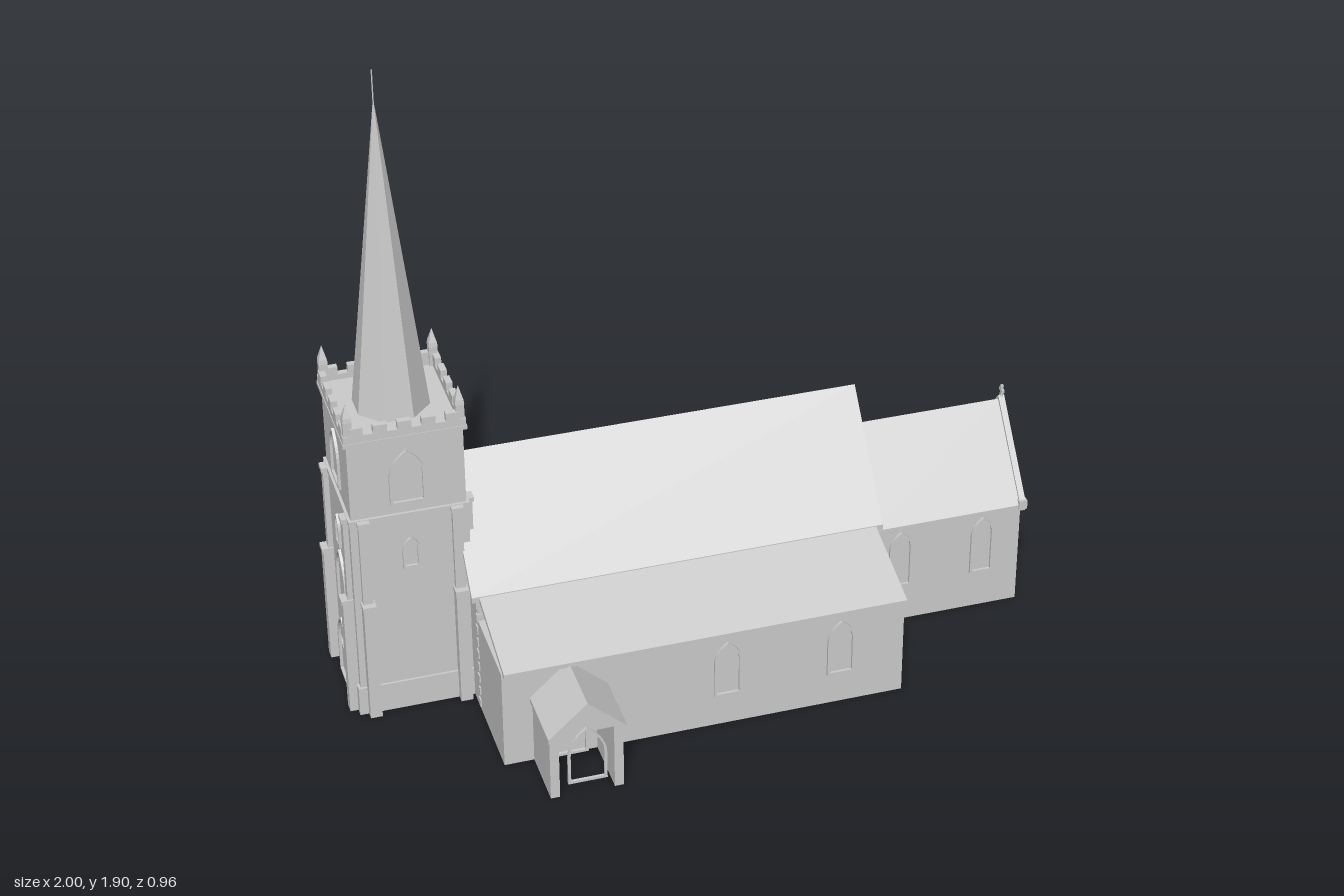
import * as THREE from 'three';

export function createModel() {
  const root = new THREE.Group();
  root.name = 'church';
  const stone = new THREE.MeshStandardMaterial({ color: 0xcccccc });
  stone.name = 'pale stone';
  stone.flatShading = true;

  const add = (name, geo, parent = root) => {
    const m = new THREE.Mesh(geo, stone);
    m.name = name;
    parent.add(m);
    return m;
  };
  // box given by its min and max corners
  const box = (name, x0, x1, y0, y1, z0, z1, parent) => {
    const m = add(name, new THREE.BoxGeometry(x1 - x0, y1 - y0, z1 - z0), parent);
    m.position.set((x0 + x1) / 2, (y0 + y1) / 2, (z0 + z1) / 2);
    return m;
  };
  const poly = pts => new THREE.Shape(pts.map(p => new THREE.Vector2(p[0], p[1])));
  const extrude = (shape, depth) =>
    new THREE.ExtrudeGeometry(shape, { depth, bevelEnabled: false, curveSegments: 6 });

  // gabled solid or roof whose ridge runs along x
  const alongX = (name, shape, x0, x1, zc) => {
    const m = add(name, extrude(shape, x1 - x0));
    m.rotation.y = Math.PI / 2;
    m.position.set(x0, 0, zc);
    return m;
  };
  const house = (half, eave, ridge) =>
    poly([[-half, 0], [half, 0], [half, eave], [0, ridge], [-half, eave]]);
  const chevron = (half, eave, ridge, t) =>
    poly([[-half, eave - t], [0, ridge - t], [half, eave - t], [half, eave], [0, ridge], [-half, eave]]);

  // pointed arch outline, standing on y = 0
  const archPath = (path, w, h, y0 = 0) => {
    const s = h - w * 0.85;
    path.moveTo(-w / 2, y0);
    path.lineTo(w / 2, y0);
    path.lineTo(w / 2, s);
    path.quadraticCurveTo(w / 2, s + w * 0.5, 0, h);
    path.quadraticCurveTo(-w / 2, s + w * 0.5, -w / 2, s);
    path.closePath();
    return path;
  };
  // thin raised frame around a window or door
  const archFrame = (name, x, y, z, w, h, turn, parent) => {
    const t = 0.008;
    const s = archPath(new THREE.Shape(), w, h);
    s.holes.push(archPath(new THREE.Path(), w - 2 * t, h - t, t));
    const m = add(name, extrude(s, 0.008), parent);
    m.position.set(x, y, z);
    m.rotation.y = turn;
    return m;
  };

  // nave
  const zc = -0.217;
  alongX('naveWalls', house(0.245, 0.40, 0.69), -0.64, 0.525, zc);
  alongX('naveRoof', chevron(0.262, 0.40, 0.71, 0.018), -0.658, 0.535, zc);
  for (const x of [0.25, -0.08, -0.38])
    archFrame('naveNorthWindow', x, 0.13, zc - 0.245, 0.08, 0.2, Math.PI);

  // alternating corner stones
  for (const x of [-0.64, 0.525])
    for (const side of [-1, 1])
      for (let i = 0; i < 9; i++) {
        const r = i % 2 ? 0.012 : 0.02, z = zc + side * 0.24, dx = Math.sign(x);
        const q = add('cornerStone', new THREE.BoxGeometry(r * 2, 0.024, r));
        q.position.set(x - dx * (r - 0.004), 0.025 + i * 0.042, z + side * (0.009 - r / 2));
      }

  // chancel with raised end gable, kneelers and cross
  alongX('chancelWalls', house(0.19, 0.335, 0.56), 0.52, 0.985, zc);
  alongX('chancelRoof', chevron(0.2, 0.335, 0.577, 0.016), 0.53, 0.985, zc);
  alongX('gableCoping', chevron(0.2, 0.345, 0.59, 0.03), 0.978, 0.996, zc);
  for (const s of [-1, 1]) {
    const z = zc + s * 0.193;
    box('kneeler', 0.975, 1.0, 0.322, 0.35, z - 0.012, z + 0.012);
  }
  box('crossShaft', 0.984, 0.992, 0.58, 0.622, zc - 0.004, zc + 0.004);
  box('crossArm', 0.984, 0.992, 0.602, 0.61, zc - 0.012, zc + 0.012);
  for (const x of [0.62, 0.87]) {
    archFrame('chancelSouthWindow', x, 0.12, zc + 0.19, 0.07, 0.19, 0);
    archFrame('chancelNorthWindow', x, 0.12, zc - 0.19, 0.07, 0.19, Math.PI);
  }
  archFrame('eastWindow', 0.985, 0.13, zc, 0.14, 0.26, Math.PI / 2);

  // side aisle under a lean-to roof
  box('aisleWalls', -0.64, 0.515, 0, 0.31, 0.02, 0.285);
  alongX('aisleRoof', poly([[-0.025, 0.388], [-0.305, 0.308], [-0.305, 0.322], [-0.025, 0.403]]),
    -0.637, 0.515, 0);
  for (const x of [0.0, 0.33]) archFrame('aisleWindow', x, 0.1, 0.285, 0.08, 0.18, 0);

  // porch
  const porch = new THREE.Group();
  porch.name = 'porch';
  porch.position.x = -0.453;
  root.add(porch);
  for (const s of [-1, 1])
    box('porchSideWall', s * 0.09 - 0.013, s * 0.09 + 0.013, 0, 0.22, 0.28, 0.46, porch);
  add('porchGable', extrude(poly([[-0.1, 0.205], [0.1, 0.205], [0, 0.295]]), 0.02), porch).position.z = 0.44;
  add('porchRoof', extrude(chevron(0.11, 0.215, 0.315, 0.014), 0.195), porch).position.z = 0.285;
  archFrame('porchArch', 0, 0.043, 0.46, 0.11, 0.18, 0, porch);
  archFrame('churchDoor', 0, 0, 0.285, 0.1, 0.19, 0, porch);

  // tower, built around its own centre
  const tower = new THREE.Group();
  tower.name = 'tower';
  tower.position.set(-0.798, 0, -0.22);
  root.add(tower);
  const block = (name, h, y0, y1) => box(name, -h, h, y0, y1, -h, h, tower);
  block('towerPlinth', 0.172, 0, 0.09);
  block('towerLower', 0.165, 0.09, 0.64);
  block('towerUpper', 0.16, 0.64, 0.905);
  block('stringCourse', 0.168, 0.635, 0.65);
  block('parapetLedge', 0.17, 0.888, 0.9);

  // the four sides repeat
  for (let k = 0; k < 4; k++) {
    const side = new THREE.Group();
    side.name = 'towerSide';
    side.rotation.y = k * Math.PI / 2;
    tower.add(side);
    for (const s of [-1, 1]) {
      const x = s * 0.13;
      box('buttressLower', x - 0.017, x + 0.017, 0, 0.37, 0.15, 0.195, side);
      box('buttressLowerCap', x - 0.019, x + 0.019, 0.368, 0.38, 0.15, 0.199, side);
      box('buttressUpper', x - 0.014, x + 0.014, 0.37, 0.638, 0.15, 0.18, side);
      box('buttressUpperCap', x - 0.017, x + 0.017, 0.635, 0.648, 0.15, 0.185, side);
    }
    archFrame('belfryWindow', 0, 0.68, 0.16, 0.1, 0.17, 0, side);
    archFrame('towerWindow', 0, 0.47, 0.165, 0.05, 0.1, 0, side);
    box('parapetWall', -0.168, 0.168, 0.895, 0.922, 0.15, 0.168, side);
    for (let i = -2; i <= 2; i++)
      box('merlon', i * 0.066 - 0.019, i * 0.066 + 0.019, 0.92, 0.945, 0.15, 0.168, side);
  }
  archFrame('westDoor', -0.172, 0, 0, 0.12, 0.22, -Math.PI / 2, tower);
  archFrame('westWindow', -0.165, 0.25, 0, 0.11, 0.2, -Math.PI / 2, tower);

  // corner pinnacles
  for (const sx of [-1, 1])
    for (const sz of [-1, 1]) {
      const x = sx * 0.153, z = sz * 0.153;
      box('pinnacleShaft', x - 0.012, x + 0.012, 0.9, 0.965, z - 0.012, z + 0.012, tower);
      const tip = add('pinnacleTip', new THREE.LatheGeometry(
        [[0, 0], [0.018, 0.004], [0.016, 0.016], [0, 0.058]].map(p => new THREE.Vector2(...p)), 4, Math.PI / 4), tower);
      tip.position.set(x, 0.962, z);
    }

  // octagonal spire and rod
  const spire = add('spire', new THREE.CylinderGeometry(0.002, 0.108, 0.91, 8), tower);
  spire.position.y = 1.355;
  spire.rotation.y = Math.PI / 8;
  add('spireRod', new THREE.CylinderGeometry(0.002, 0.002, 0.11, 6), tower).position.y = 1.85;

  return root;
}
